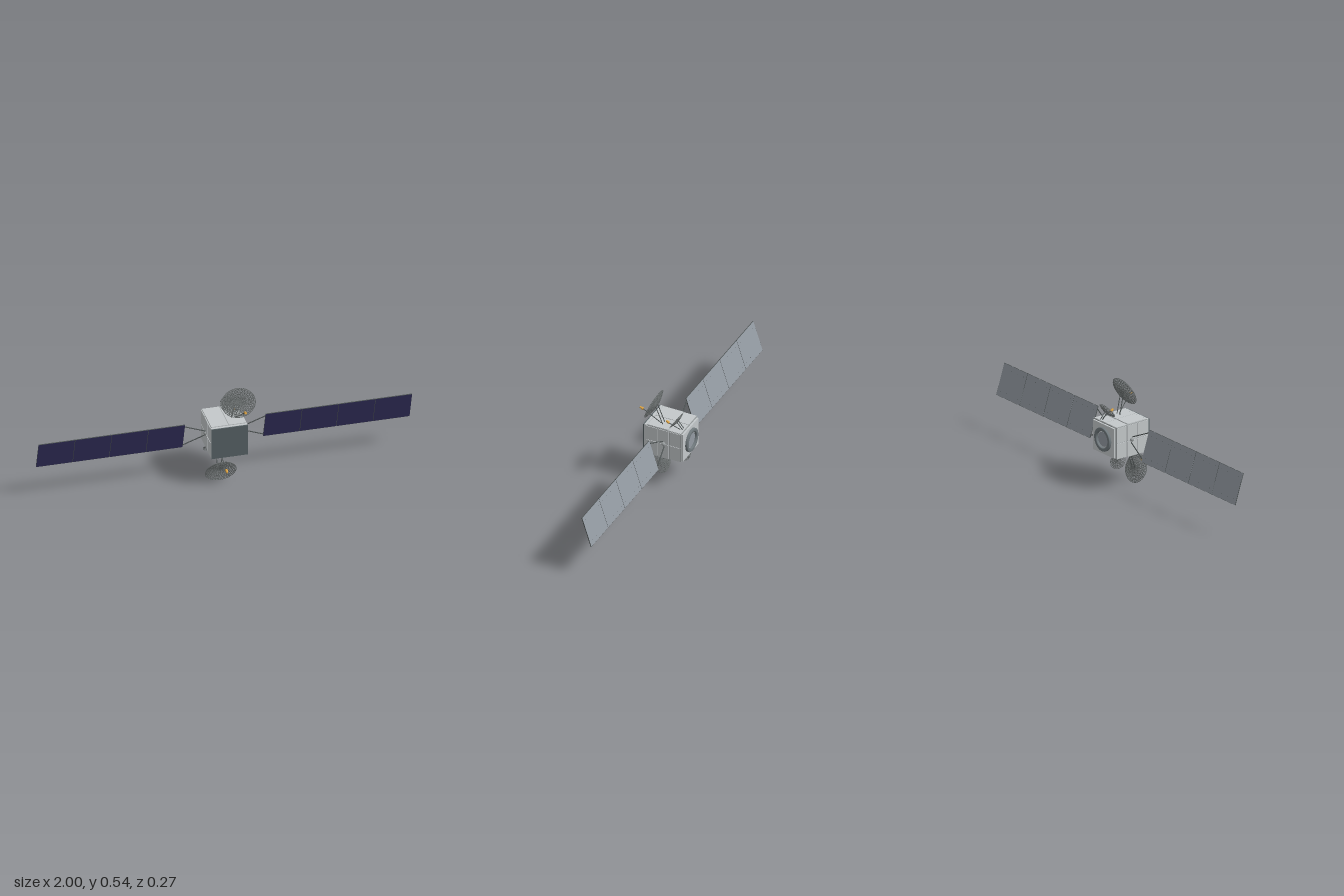
import * as THREE from 'three';
import { mergeGeometries } from 'three/addons/utils/BufferGeometryUtils.js';

const mat = (name, color, extra = {}) => Object.assign(new THREE.MeshStandardMaterial({ color, ...extra }), { name });

export function createModel() {
  const model = new THREE.Group();
  model.name = 'satellite';
  const M = {
    light: mat('light grey panel', 0xc3c8ca),
    seam: mat('seam grey', 0x9a9fa0),
    front: mat('front plate grey', 0x556063),
    navy: mat('solar cell navy', 0x34315f),
    back: mat('array back grey', 0x939aa2),
    dark: mat('dark strut grey', 0x505656),
    mesh: mat('dish mesh grey', 0x6c7171),
    ring: mat('adapter ring grey', 0x70797d, { side: THREE.DoubleSide }),
    gold: mat('feed horn gold', 0xdba244),
  };
  const V = (x, y, z) => new THREE.Vector3(x, y, z);
  const UP = V(0, 1, 0);
  const CY = 0.267;

  function add(parent, name, geo, material, x = 0, y = 0, z = 0) {
    const m = new THREE.Mesh(geo, material);
    m.name = name;
    m.position.set(x, y, z);
    parent.add(m);
    return m;
  }
  const box = (p, name, material, w, h, d, x, y, z) =>
    add(p, name, new THREE.BoxGeometry(w, h, d), material, x, y, z);

  // Round bar from a to b, optionally tapered
  function bar(parent, name, a, b, r0, r1 = r0, material = M.dark, sides = 8) {
    const d = b.clone().sub(a);
    const m = add(parent, name, new THREE.CylinderGeometry(r1, r0, d.length(), sides), material);
    m.position.copy(a).addScaledVector(d, 0.5);
    m.quaternion.setFromUnitVectors(UP, d.normalize());
    return m;
  }

  // Body core, front plate and cladding
  const body = new THREE.Group();
  body.name = 'body';
  model.add(body);
  box(body, 'bodyCore', M.seam, 0.19, 0.174, 0.211, 0, CY, -0.0055);
  box(body, 'frontFrame', M.light, 0.194, 0.18, 0.014, 0, CY, 0.093);
  box(body, 'frontPlate', M.front, 0.194, 0.177, 0.006, 0, CY, 0.103);
  box(body, 'backPlate', M.light, 0.178, 0.164, 0.01, 0, CY, -0.116);
  for (const s of [1, -1]) {
    for (const z of [0.0555, -0.0105, -0.0775]) {
      for (const y of [-0.0432, 0.0432]) {
        box(body, 'sidePanel', M.light, 0.004, 0.083, 0.063, s * 0.0965, CY + y, z);
      }
    }
    for (const x of [-0.047, 0.047]) {
      box(body, 'deckPanel', M.light, 0.091, 0.005, 0.117, x, CY + s * 0.0895, 0.024);
      box(body, 'rearDeckPanel', M.light, 0.091, 0.003, 0.07, x, CY + s * 0.0875, -0.073);
    }
  }

  // Launch adapter ring at the back
  const ringProfile = [[0.065, 0], [0.065, 0.012], [0.062, 0.014], [0.05, 0.014], [0.046, 0.012], [0.046, 0]];
  const ring = add(body, 'adapterRing', new THREE.LatheGeometry(
    ringProfile.map(([r, y]) => new THREE.Vector2(r, y)), 40), M.ring, 0, CY, -0.12);
  ring.rotation.x = -Math.PI / 2;
  const disc = add(body, 'adapterDisc', new THREE.CylinderGeometry(0.04, 0.04, 0.006, 40), M.back, 0, CY, -0.122);
  disc.rotation.x = Math.PI / 2;

  // Solar wings, tilted so the tops lean forward
  for (const s of [1, -1]) {
    const wing = new THREE.Group();
    wing.name = s > 0 ? 'leftWing' : 'rightWing';
    wing.position.set(0, 0.269, -0.0125);
    wing.rotation.x = 0.313;
    model.add(wing);
    add(wing, 'hub', new THREE.SphereGeometry(0.011, 16, 12), M.seam, s * 0.099, 0, 0);
    for (const t of [1, -1]) {
      bar(wing, 'yokeArm', V(s * 0.1, t * 0.015, 0), V(s * 0.217, t * 0.072, 0), 0.0028);
    }
    for (let i = 0; i < 4; i++) {
      const x = s * (0.313 + i * 0.1963);
      box(wing, 'panelCore', M.dark, 0.195, 0.174, 0.0044, x, 0, 0);
      box(wing, 'solarCells', M.navy, 0.1935, 0.171, 0.0004, x, 0, 0.0023);
      box(wing, 'panelBack', M.back, 0.1935, 0.172, 0.0004, x, 0, -0.0023);
      for (const y of [-0.06, 0.06]) {
        for (let k = 0; k < 4; k++) {
          const dot = add(wing, 'panelFastener', new THREE.CylinderGeometry(0.0016, 0.0016, 0.0006, 8),
            M.dark, x + (k - 1.5) * 0.048, y, -0.0026);
          dot.rotation.x = Math.PI / 2;
        }
      }
      // Hinges between neighbouring panels
      if (i < 3) for (const y of [-0.06, 0.06]) box(wing, 'hinge', M.dark, 0.003, 0.01, 0.004, x + s * 0.098, y, 0);
    }
  }

  // Openwork dish: rings and two families of crossing spiral bars on a paraboloid
  function dishGeometry(r, depth, rings, spirals) {
    const on = (t, a) => V(r * t * Math.cos(a), depth * (t * t - 1), r * t * Math.sin(a));
    const parts = [];
    const w = r * 0.024;
    for (let i = 1; i <= rings; i++) {
      const t = i / rings;
      const g = new THREE.TorusGeometry(r * t, w, 5, 48);
      g.rotateX(Math.PI / 2);
      g.translate(0, depth * (t * t - 1), 0);
      parts.push(g);
    }
    for (const dir of [1, -1]) {
      for (let k = 0; k < spirals; k++) {
        const pts = [];
        for (let j = 0; j <= 6; j++) {
          const t = 0.1 + 0.9 * j / 6;
          pts.push(on(t, k / spirals * Math.PI * 2 + dir * t * 0.7));
        }
        parts.push(new THREE.TubeGeometry(new THREE.CatmullRomCurve3(pts), 10, w * 0.8, 4));
      }
    }
    const hub = new THREE.CylinderGeometry(r * 0.12, r * 0.12, 0.003, 16);
    hub.translate(0, -depth, 0);
    parts.push(hub);
    return mergeGeometries(parts);
  }

  // Each antenna: rim centre, facing, radii, dish mount, boom base, feed and horn direction
  const antennas = [
    { name: 'upperLargeAntenna', c: [0.058, 0.472, 0.0635], n: [0.36, 0.93], rx: 0.09, r: 0.077, depth: 0.018,
      base: [0.045, 0.357, 0.012], boom: [0.05, 0.357, 0.02], feed: [0.08, 0.442, 0.123], horn: [-0.007, -0.019] },
    { name: 'lowerLargeAntenna', c: [-0.037, 0.0735, 0.0645], n: [-0.386, 0.922], rx: 0.082, r: 0.076, depth: 0.018,
      base: [-0.04, 0.178, 0.015], boom: [-0.035, 0.178, 0.025], feed: [-0.02, 0.102, 0.12], horn: [0.008, -0.019] },
    { name: 'upperSmallAntenna', c: [0.045, 0.397, -0.06], n: [0.587, 0.815], rx: 0.053, r: 0.046, depth: 0.011,
      base: [0.045, 0.35, -0.104], boom: [0.055, 0.35, -0.1], feed: [0.06, 0.385, -0.018], horn: [-0.011, -0.017] },
    { name: 'lowerSmallAntenna', c: [-0.045, 0.145, -0.0625], n: [-0.587, 0.815], rx: 0.054, r: 0.043, depth: 0.011,
      base: [-0.045, 0.184, -0.104], boom: [-0.035, 0.184, -0.1], feed: [-0.03, 0.16, -0.016], horn: [0.009, -0.018] },
  ];
  for (const a of antennas) {
    const g = new THREE.Group();
    g.name = a.name;
    model.add(g);
    const big = a.r > 0.06;
    const dish = add(g, 'dish', dishGeometry(a.r, a.depth, big ? 11 : 9, big ? 30 : 24), M.mesh, ...a.c);
    dish.rotation.x = Math.atan2(a.n[1], a.n[0]);
    dish.scale.x = a.rx / a.r;
    // Paired struts from the body to the dish back
    const back = V(a.c[0], a.c[1] - a.n[0] * a.depth, a.c[2] - a.n[1] * a.depth);
    for (const s of [-1, 1]) {
      const off = s * (big ? 0.012 : 0.008);
      bar(g, 'dishStrut', V(a.base[0] + off, a.base[1], a.base[2]), V(back.x + off, back.y, back.z), 0.0022);
    }
    // Feed boom and horn
    const feed = V(...a.feed);
    const half = V(0, a.horn[0] / 2, a.horn[1] / 2);
    bar(g, 'feedBoom', V(...a.boom), feed.clone().add(half), 0.0022);
    bar(g, 'feedHorn', feed.clone().sub(half), feed.clone().add(half), 0.005, 0.0075, M.gold, 16);
  }
  return model;
}
